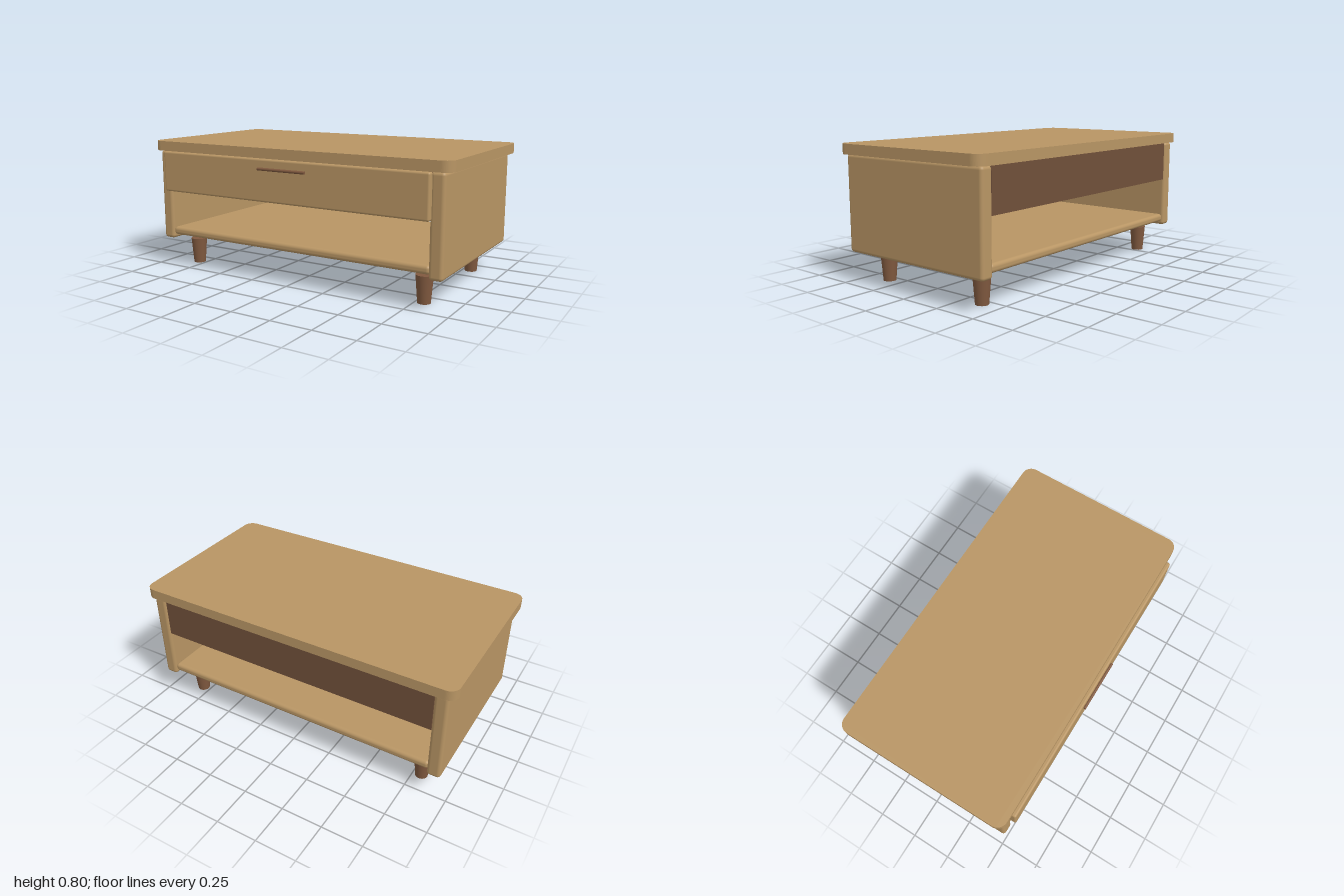
import * as THREE from 'three';
import { RoundedBoxGeometry } from 'three/addons/geometries/RoundedBoxGeometry.js';

const wood = new THREE.MeshStandardMaterial({ color: 0xb89564 });
const darkWood = new THREE.MeshStandardMaterial({ color: 0x70503a });
const legWood = new THREE.MeshStandardMaterial({ color: 0x80593f });

export function createModel() {
  const table = new THREE.Group();
  table.name = 'coffeeTable';

  const add = (name, geometry, material, x = 0, y = 0, z = 0) => {
    const mesh = new THREE.Mesh(geometry, material);
    mesh.name = name;
    mesh.position.set(x, y, z);
    table.add(mesh);
    return mesh;
  };

  // Softly rounded board given by its lower and upper corners
  const board = (name, [x0, y0, z0], [x1, y1, z1], radius) =>
    add(name, new RoundedBoxGeometry(x1 - x0, y1 - y0, z1 - z0, 4, radius), wood,
      (x0 + x1) / 2, (y0 + y1) / 2, (z0 + z1) / 2);

  // Table top: rounded corners in plan, crisp upper and lower edges
  const w = 1, d = 0.531, r = 0.06;
  const plan = new THREE.Shape();
  plan.absarc(w - r, d - r, r, 0, Math.PI / 2);
  plan.absarc(-w + r, d - r, r, Math.PI / 2, Math.PI);
  plan.absarc(-w + r, -d + r, r, Math.PI, Math.PI * 1.5);
  plan.absarc(w - r, -d + r, r, Math.PI * 1.5, Math.PI * 2);
  const topGeometry = new THREE.ExtrudeGeometry(plan, { depth: 0.06, bevelEnabled: false, curveSegments: 8 });
  topGeometry.rotateX(-Math.PI / 2);
  add('tableTop', topGeometry, wood, 0, 0.74, -0.019);

  // Side panels and lower shelf
  board('leftPanel', [0.88, 0.175, -0.53], [0.96, 0.74, 0.494], 0.02);
  board('rightPanel', [-0.96, 0.175, -0.53], [-0.88, 0.74, 0.494], 0.02);
  board('shelf', [-0.885, 0.2, -0.52], [0.885, 0.25, 0.485], 0.02);

  // Drawer with its front and bar handle
  add('drawerBox', new THREE.BoxGeometry(1.76, 0.25, 1.01), darkWood, 0, 0.615, -0.015);
  board('drawerFront', [-0.895, 0.49, 0.492], [0.895, 0.74, 0.535], 0.012);
  const handle = add('drawerHandle', new THREE.CylinderGeometry(0.009, 0.009, 0.32, 16), legWood, 0, 0.683, 0.541);
  handle.rotation.z = Math.PI / 2;

  // Tapered legs
  const legGeometry = new THREE.CylinderGeometry(0.05, 0.037, 0.16, 24);
  for (const [side, x] of [['Left', 0.8], ['Right', -0.8]])
    for (const [end, z] of [['front', 0.345], ['back', -0.379]])
      add(`${end}${side}Leg`, legGeometry, legWood, x, 0.08, z);

  return table;
}
